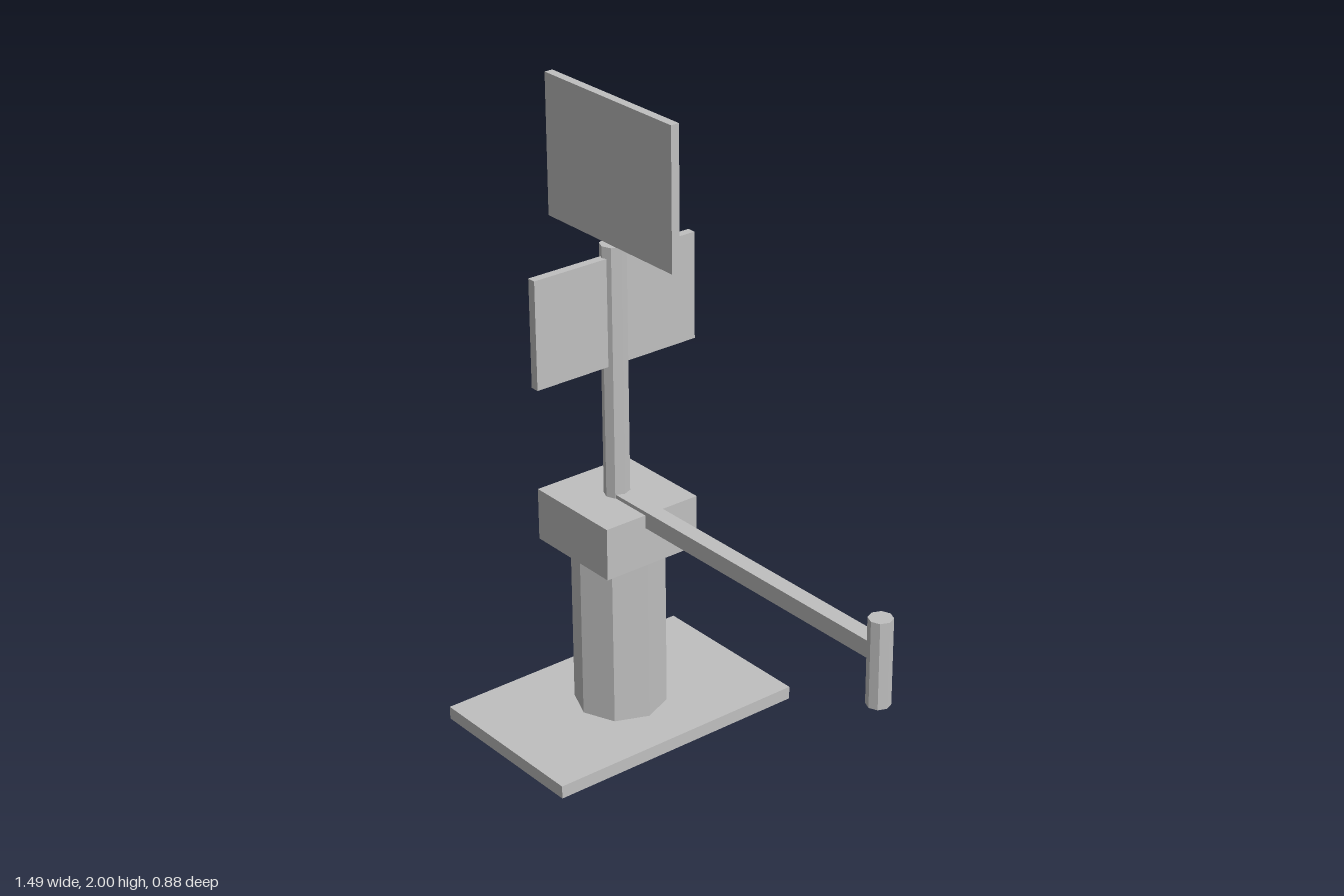
import * as THREE from 'three';

export function createModel() {
  const model = new THREE.Group();
  model.name = 'signPost';
  const grey = new THREE.MeshStandardMaterial({ color: 0xc0c0c0, flatShading: true });
  grey.name = 'lightGrey';

  const postX = -0.455; // axis of the pedestal and pole
  const tipX = 0.706; // axis of the handle at the end of the arm

  function add(name, geometry, x, y0, y1) {
    const mesh = new THREE.Mesh(geometry, grey);
    mesh.name = name;
    mesh.position.set(x, (y0 + y1) / 2, 0);
    model.add(mesh);
  }
  const box = (name, x, w, d, y0, y1) =>
    add(name, new THREE.BoxGeometry(w, y1 - y0, d), x, y0, y1);
  const octagon = (name, x, r, y0, y1) =>
    add(name, new THREE.CylinderGeometry(r, r, y1 - y0, 8), x, y0, y1);

  // Pedestal
  box('basePlate', postX, 0.577, 0.885, 0, 0.042);
  octagon('column', postX, 0.144, 0.042, 0.588);
  box('columnHead', postX, 0.338, 0.338, 0.588, 0.756);

  // Pole with two crossed boards
  octagon('pole', postX, 0.04, 0.756, 1.56);
  box('upperBoard', postX, 0.577, 0.028, 1.56, 2);
  box('lowerBoard', postX, 0.028, 0.58, 1.184, 1.524);

  // Side arm ending in an upright handle
  box('arm', (postX + tipX) / 2, tipX - postX, 0.052, 0.714, 0.768);
  octagon('armHandle', tipX, 0.036, 0.57, 0.841);

  return model;
}
